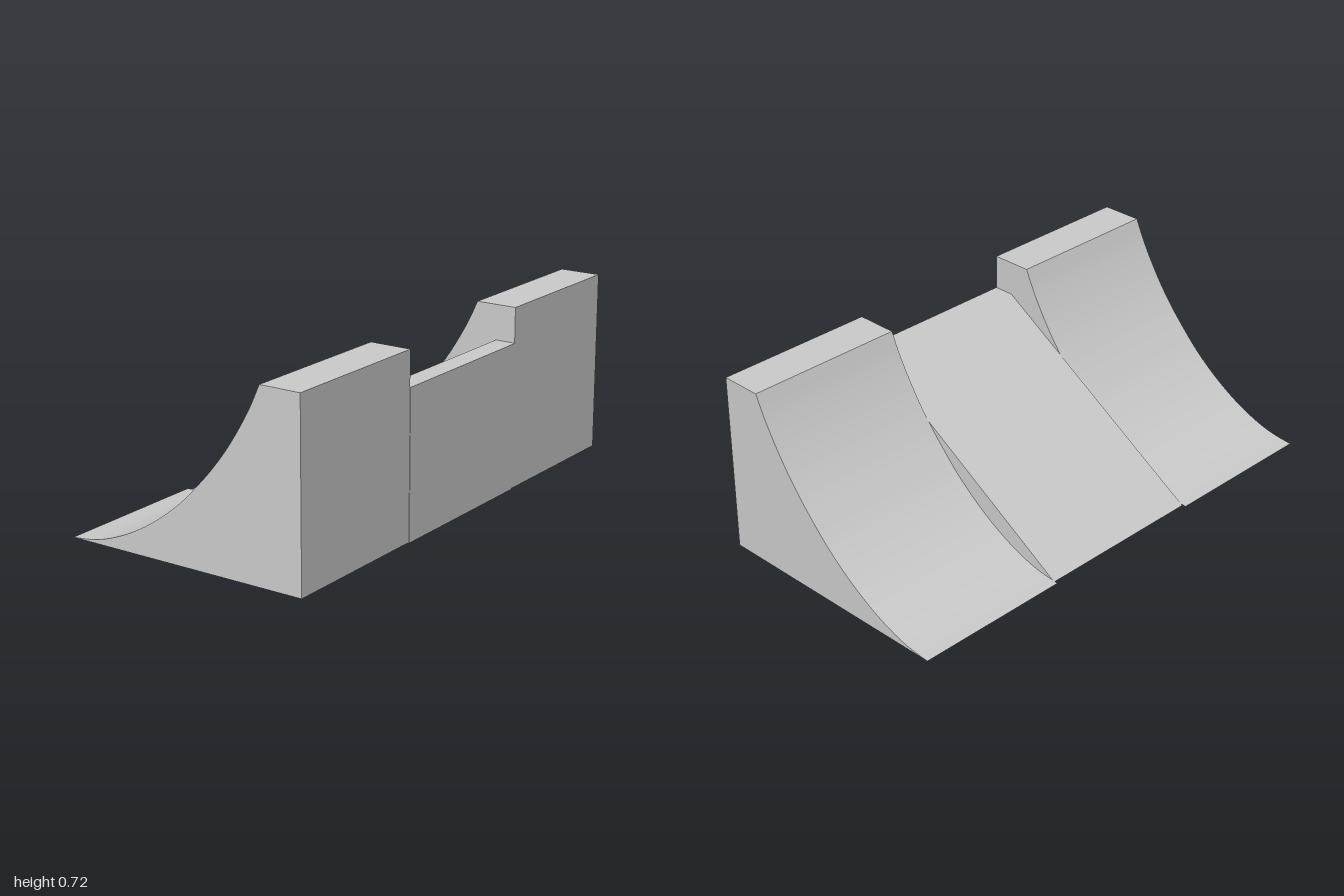
import * as THREE from 'three';

const material = new THREE.MeshStandardMaterial({ color: 0xcccccc });

// Extrudes a (z, y) outline along x from x0 to x1
function extrudeAlongX(name, shape, x0, x1) {
  const geometry = new THREE.ExtrudeGeometry(shape, { depth: x1 - x0, bevelEnabled: false, curveSegments: 40 });
  // shape x becomes -z so the extrusion runs along +x
  geometry.rotateY(Math.PI / 2);
  geometry.translate(x0, 0, 0);
  const mesh = new THREE.Mesh(geometry, material);
  mesh.name = name;
  return mesh;
}

export function createModel() {
  const group = new THREE.Group();
  group.name = 'rampBlock';
  const half = 0.355;

  // Curved quarter-pipe outline: shape x is -z
  const curve = new THREE.Shape();
  curve.moveTo(0.508, 0.002);
  curve.lineTo(-0.506, 0.002);
  curve.lineTo(-0.506, 0.716);
  curve.lineTo(-0.34, 0.716);
  curve.splineThru([
    [-0.3, 0.631], [-0.25, 0.544], [-0.2, 0.468], [-0.152, 0.405], [-0.1, 0.344],
    [0, 0.241], [0.1, 0.16], [0.2, 0.096], [0.3, 0.048], [0.4, 0.016], [0.508, 0.002],
  ].map(([x, y]) => new THREE.Vector2(x, y)));
  group.add(extrudeAlongX('leftQuarterPipe', curve, half, 1));
  group.add(extrudeAlongX('rightQuarterPipe', curve, -1, -half));

  // Straight ramp with a narrow deck between the quarter pipes
  const ramp = new THREE.Shape([
    [0.492, 0], [-0.508, 0], [-0.508, 0.578], [-0.424, 0.578],
  ].map(([x, y]) => new THREE.Vector2(x, y)));
  group.add(extrudeAlongX('centerRamp', ramp, -half, half));

  return group;
}
